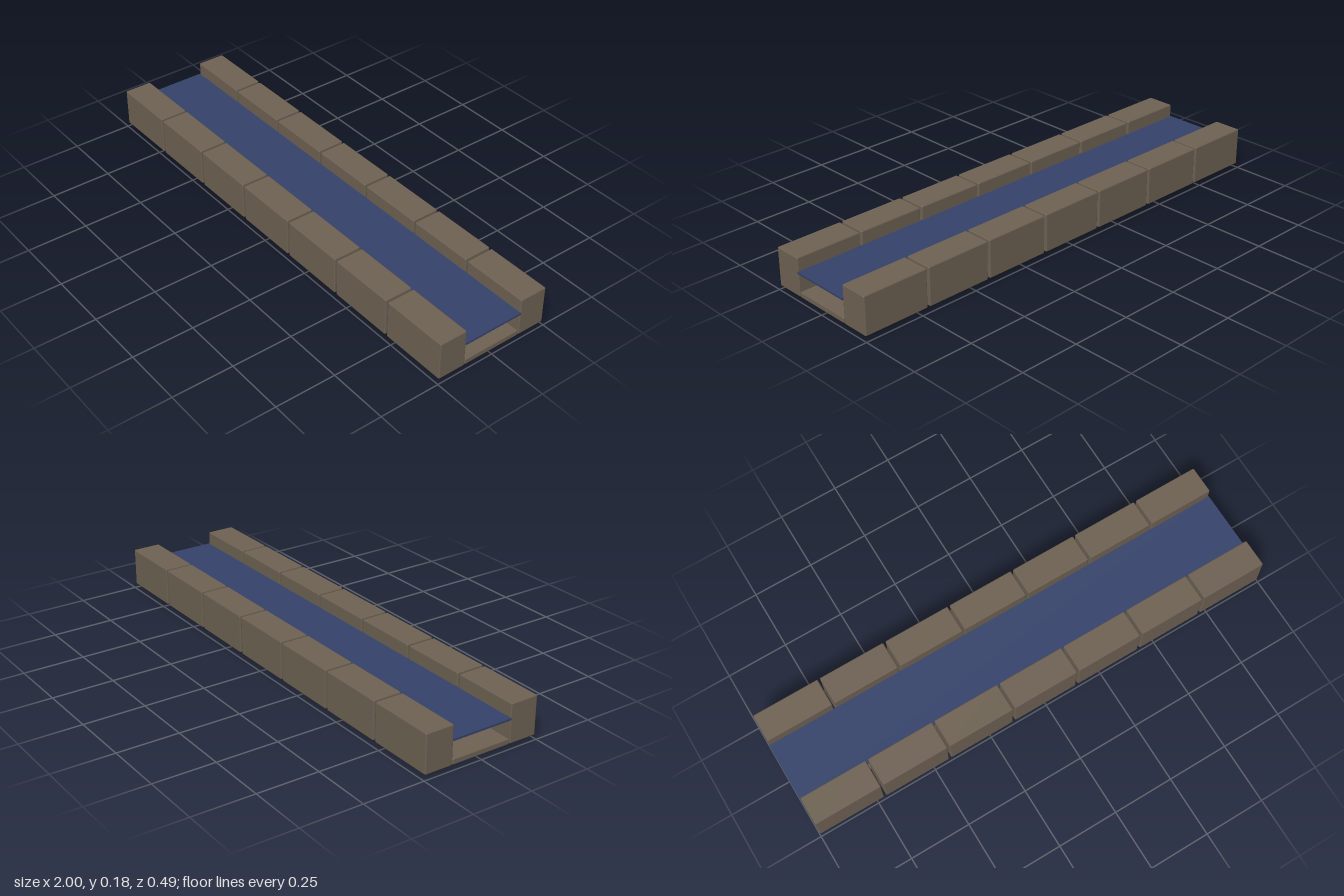
import * as THREE from 'three';
import { RoundedBoxGeometry } from 'three/addons/geometries/RoundedBoxGeometry.js';

export function createModel() {
  const model = new THREE.Group();
  model.name = 'canal';
  const stone = new THREE.MeshStandardMaterial({ color: 0x6d6152 });
  stone.name = 'stone';
  const water = new THREE.MeshStandardMaterial({ color: 0x34416a });
  water.name = 'water';

  const add = (geometry, material, name, x, y, z) => {
    const mesh = new THREE.Mesh(geometry, material);
    mesh.name = name;
    mesh.position.set(x, y, z);
    model.add(mesh);
    return mesh;
  };

  // Two rows of chamfered wall blocks
  const block = new RoundedBoxGeometry(0.277, 0.158, 0.118, 1, 0.005);
  for (const side of [-1, 1]) {
    for (let i = 0; i < 7; i++) {
      add(block, stone, 'wallBlock', (i - 3) * 0.2864, 0.099, side * 0.186);
    }
  }

  // Stone bed and the water sheet above it
  add(new RoundedBoxGeometry(1.994, 0.023, 0.25, 1, 0.004), stone, 'bed', 0, 0.0315, 0);
  add(new THREE.BoxGeometry(2, 0.008, 0.256), water, 'waterSurface', 0, 0.119, 0);

  // Faceted rocks sunk through the bed
  const profile = [[0, -1], [0.75, -0.45], [1, 0.35], [0.5, 0.75], [0, 1]]
    .map(([r, y]) => new THREE.Vector2(r, y));
  const rock = new THREE.LatheGeometry(profile, 7);

  // x, bottom height, length, width, turn
  const rocks = [
    [-0.75, 0.011, 0.105, 0.085, 0.4],
    [-0.46, 0.012, 0.1, 0.08, 2.1],
    [-0.16, 0.009, 0.1, 0.08, 1.2],
    [0.145, 0.002, 0.095, 0.09, 2.8],
    [0.45, 0.012, 0.085, 0.075, 0.9],
    [0.75, 0.007, 0.115, 0.1, 0.15],
  ];
  rocks.forEach(([x, bottom, length, width, turn], i) => {
    const big = add(rock, stone, 'rock', x, bottom + 0.038, 0);
    big.scale.set(length, 0.038, width);
    big.rotation.y = turn;
    // Small stone resting on every other rock
    if (i % 2 === 0) {
      const small = add(rock, stone, 'pebble', x, 0.083, 0);
      small.scale.set(0.055, 0.02, 0.048);
      small.rotation.y = turn + 0.6;
    }
  });

  return model;
}
